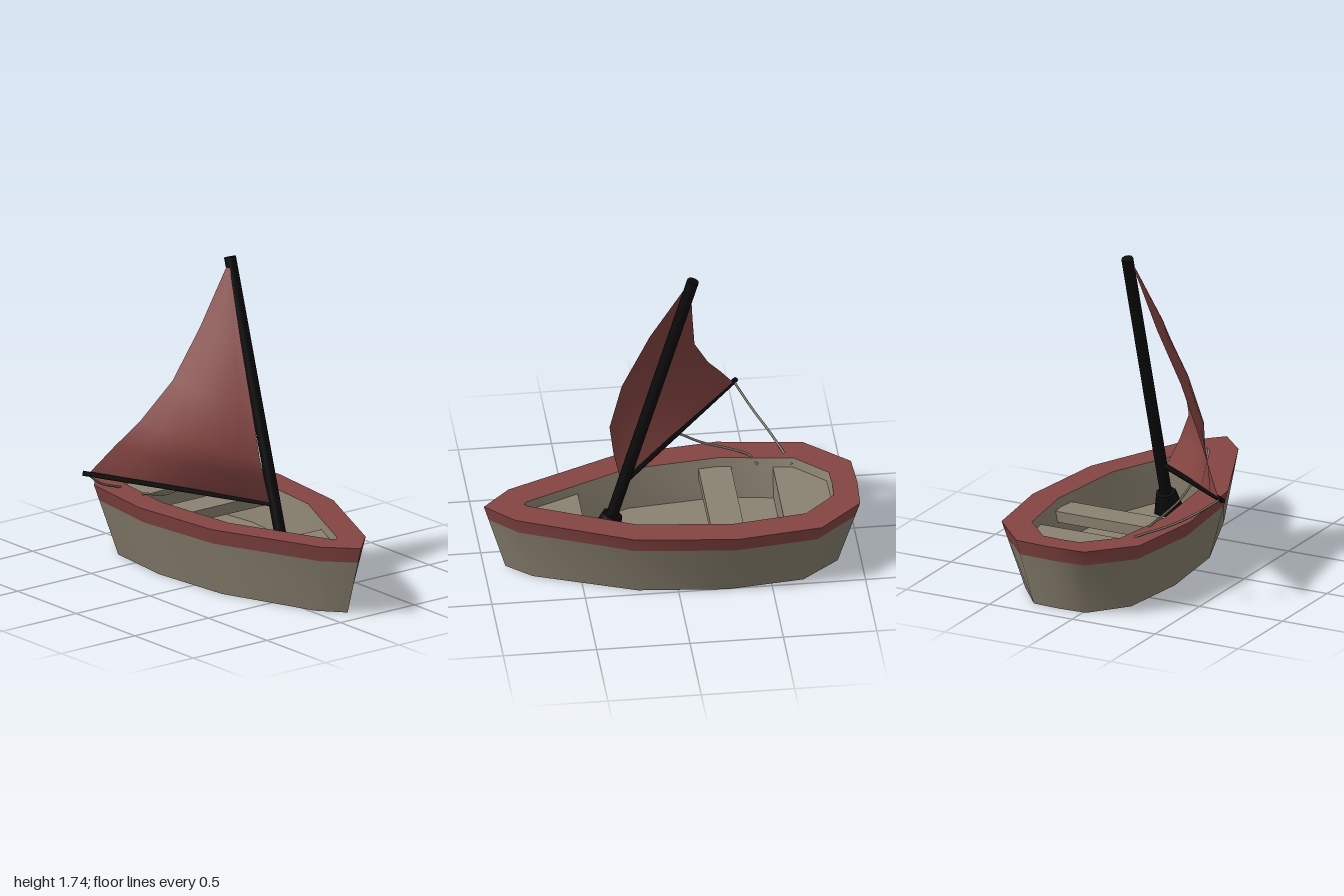
import * as THREE from 'three';
import { toCreasedNormals } from 'three/addons/utils/BufferGeometryUtils.js';

const material = (color, side = THREE.FrontSide) => new THREE.MeshStandardMaterial({ color, side });
const wood = material(0x8a8170);
const red = material(0x854542);
const black = material(0x0a0a0a);
const ropeMat = material(0x6b6757);
const sailMat = material(0x854542, THREE.DoubleSide);

const V = (x, y, z) => new THREE.Vector3(x, y, z);
const KEEL_Z = -0.14;
const RIM_Y = 0.385;
const FLOOR_Y = 0.16;

// Half outlines from bow to stern as [x, half width]
const OUTER = [[1, 0], [0.85, 0.15], [0.24, 0.415], [-0.3, 0.475], [-0.76, 0.415], [-0.99, 0.205], [-1, 0]];
const INNER = [[0.785, 0], [0.77, 0.02], [0.21, 0.268], [-0.3, 0.322], [-0.695, 0.267], [-0.86, 0.11], [-0.865, 0]];

function mesh(name, geometry, mat) {
  const m = new THREE.Mesh(geometry, mat);
  m.name = name;
  return m;
}

// Closed ring at height y, narrowing below the rim
function ring(half, y, size = 1) {
  const depth = RIM_Y - y;
  const mirrored = half.slice(1, -1).reverse().map(([x, z]) => [x, -z]);
  return [...half, ...mirrored].map(([x, z]) =>
    V(x * size * (1 - 0.3 * depth), y, KEEL_Z + z * size * (1 - 0.6 * depth)));
}

// Skin joining consecutive rings
function loft(rings, crease = 0.9) {
  const points = [];
  for (let r = 0; r < rings.length - 1; r++) {
    const a = rings[r], b = rings[r + 1];
    for (let i = 0; i < a.length; i++) {
      const j = (i + 1) % a.length;
      points.push(a[i], b[i], b[j], a[i], b[j], a[j]);
    }
  }
  return toCreasedNormals(new THREE.BufferGeometry().setFromPoints(points), crease);
}

// Half width of the cockpit at x
function innerWidth(x) {
  for (let i = 0; i < INNER.length - 1; i++) {
    const [x0, w0] = INNER[i], [x1, w1] = INNER[i + 1];
    if (x <= x0 && x >= x1) return w0 + (w1 - w0) * (x0 - x) / (x0 - x1);
  }
  return 0;
}

// Bench following the cockpit sides between two x positions
function bench(name, x0, x1, top, thickness) {
  const xs = [x0, ...INNER.map(p => p[0]).filter(x => x > x0 && x < x1).reverse(), x1];
  const side = s => xs.map(x => new THREE.Vector2(x, KEEL_Z + s * innerWidth(x) * 0.975));
  const shape = new THREE.Shape([...side(-1), ...side(1).reverse()]);
  const g = new THREE.ExtrudeGeometry(shape, { depth: thickness, bevelEnabled: false });
  g.rotateX(Math.PI / 2).translate(0, top, 0);
  return mesh(name, g, wood);
}

// Round bar between two points
function bar(name, from, to, r0, r1, sides, mat) {
  const dir = to.clone().sub(from);
  const m = mesh(name, new THREE.CylinderGeometry(r1, r0, dir.length(), sides), mat);
  m.position.copy(from).lerp(to, 0.5);
  m.quaternion.setFromUnitVectors(V(0, 1, 0), dir.normalize());
  return m;
}

function rope(name, points) {
  const curve = new THREE.CatmullRomCurve3(points);
  return mesh(name, new THREE.TubeGeometry(curve, 12, 0.007, 5), ropeMat);
}

// Bellied triangular sail: rows from foot to head, each from luff to leech
function sailGeometry() {
  const rows = [
    [V(0.26, 0.455, -0.11), V(-0.42, 0.6, 0.57), 0],
    [V(0.295, 0.61, -0.045), V(-0.34, 0.745, 0.465), 0.045],
    [V(0.31, 0.745, 0), V(-0.26, 0.88, 0.36), 0.06],
    [V(0.245, 1.0, 0), V(-0.17, 1.1, 0.21), 0.04],
    [V(0.10, 1.33, -0.04), V(-0.14, 1.37, 0.05), 0.015],
    [V(-0.09, 1.69, -0.115), V(-0.11, 1.69, -0.11), 0],
  ];
  const n = 6, points = [], index = [];
  rows.forEach(([luff, leech, belly], r) => {
    for (let i = 0; i <= n; i++) {
      const p = luff.clone().lerp(leech, i / n);
      points.push(p.addScaledVector(V(0.7, 0, 0.7), belly * Math.sin(Math.PI * i / n)));
      if (r < rows.length - 1 && i < n) {
        const a = r * (n + 1) + i, b = a + n + 1;
        index.push(a, b, b + 1, a, b + 1, a + 1);
      }
    }
  });
  const g = new THREE.BufferGeometry().setFromPoints(points);
  g.setIndex(index);
  g.computeVertexNormals();
  return g;
}

export function createModel() {
  const boat = new THREE.Group();
  boat.name = 'sailboat';

  // Hull, painted rim and cockpit
  boat.add(
    mesh('hull', loft([ring(OUTER, 0, 0), ring(OUTER, 0), ring(OUTER, 0.3)]), wood),
    mesh('rim', loft([ring(OUTER, 0.3), ring(OUTER, RIM_Y), ring(INNER, RIM_Y)]), red),
    mesh('cockpit', loft([ring(INNER, RIM_Y), ring(INNER, FLOOR_Y), ring(INNER, FLOOR_Y, 0)]), wood),
  );

  // Benches
  boat.add(
    bench('sternBench', -0.85, -0.58, 0.335, 0.17),
    bench('middleBench', -0.36, -0.185, 0.335, 0.06),
    bench('bowBench', 0.48, 0.775, 0.335, 0.17),
  );

  // Raked mast with its foot, and the boom
  const mastFoot = V(0.35, 0.16, KEEL_Z), mastHead = V(-0.12, 1.735, KEEL_Z);
  const collarTop = mastFoot.clone().lerp(mastHead, 0.08);
  boat.add(
    bar('mast', mastFoot, mastHead, 0.032, 0.032, 10, black),
    bar('mastFoot', mastFoot, collarTop, 0.085, 0.055, 8, black),
    bar('boom', V(0.27, 0.452, -0.13), V(-0.44, 0.595, 0.605), 0.015, 0.015, 6, black),
  );

  // Sail
  boat.add(mesh('sail', sailGeometry(), sailMat));

  // Ropes from the boom to the cockpit side
  boat.add(
    rope('tipRope', [V(-0.43, 0.59, 0.58), V(-0.51, 0.5, 0.45), V(-0.58, 0.44, 0.33), V(-0.64, 0.39, 0.2), V(-0.68, 0.35, 0.12)]),
    rope('middleRope', [V(-0.09, 0.52, 0.235), V(-0.2, 0.465, 0.225), V(-0.36, 0.42, 0.205), V(-0.46, 0.39, 0.18), V(-0.5, 0.35, 0.145)]),
  );
  return boat;
}
